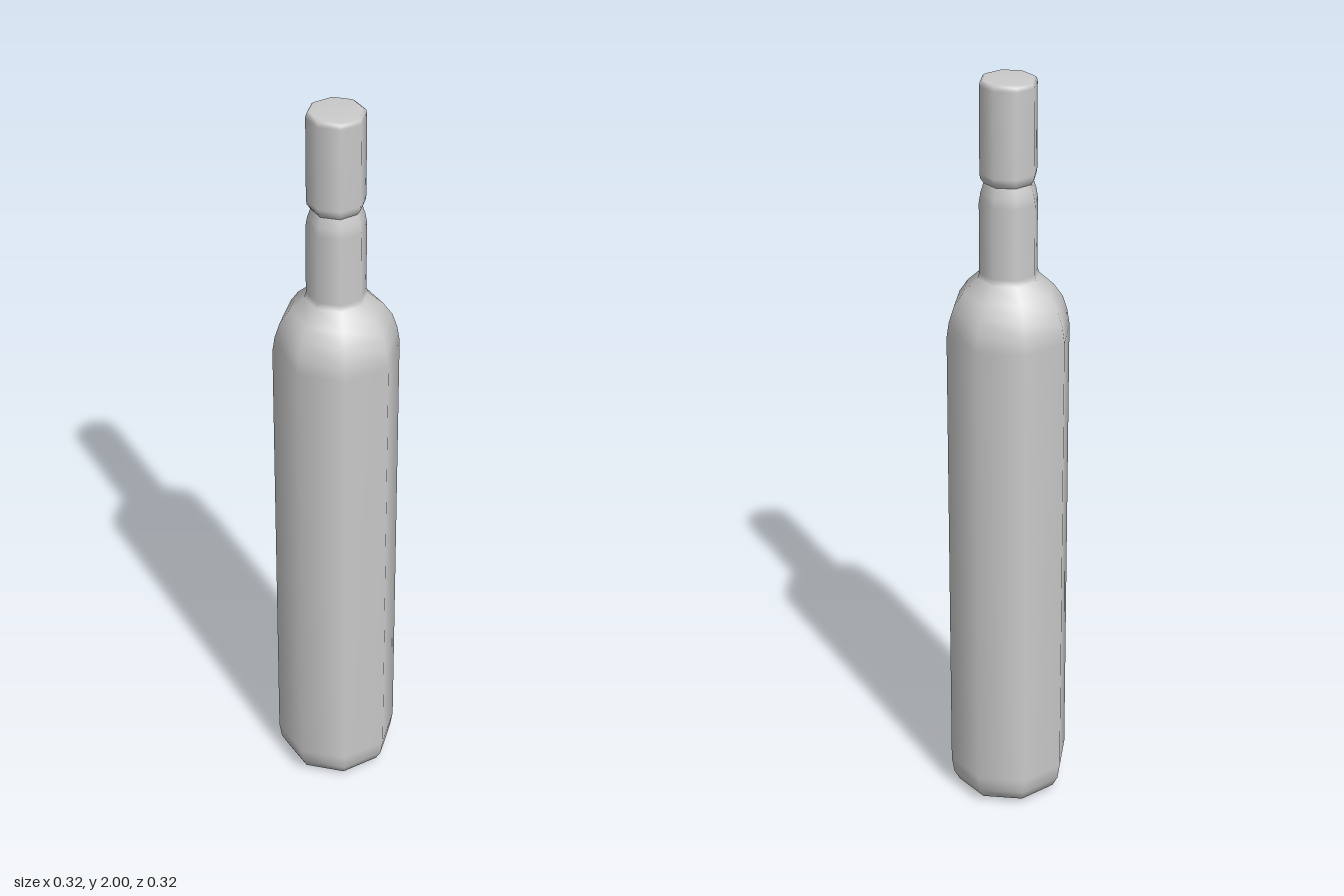
import * as THREE from 'three';

const SIDES = 8;

// Smooth-shaded eight-sided turned part from [radius, height] pairs, bottom to top
function turned(name, profile, material) {
  const points = profile.map(([r, y]) => new THREE.Vector2(r, y));
  const mesh = new THREE.Mesh(new THREE.LatheGeometry(points, SIDES), material);
  mesh.name = name;
  return mesh;
}

export function createModel() {
  const group = new THREE.Group();
  group.name = 'bottle';
  const material = new THREE.MeshStandardMaterial({ color: 0xcccccc });

  // Body with rounded base, domed shoulder and straight neck
  group.add(turned('bottleBody', [
    [0, 0], [0.115, 0.002], [0.138, 0.014], [0.153, 0.042], [0.16, 0.085],
    [0.16, 1.34], [0.154, 1.38], [0.141, 1.42], [0.117, 1.455],
    [0.08, 1.49], [0.075, 1.505], [0.075, 1.69], [0.071, 1.715], [0.063, 1.74],
  ], material));

  // Sealed cap above the groove
  group.add(turned('cap', [
    [0.063, 1.74], [0.071, 1.752], [0.073, 1.765],
    [0.073, 1.985], [0.071, 1.995], [0.064, 2], [0, 2],
  ], material));

  return group;
}
